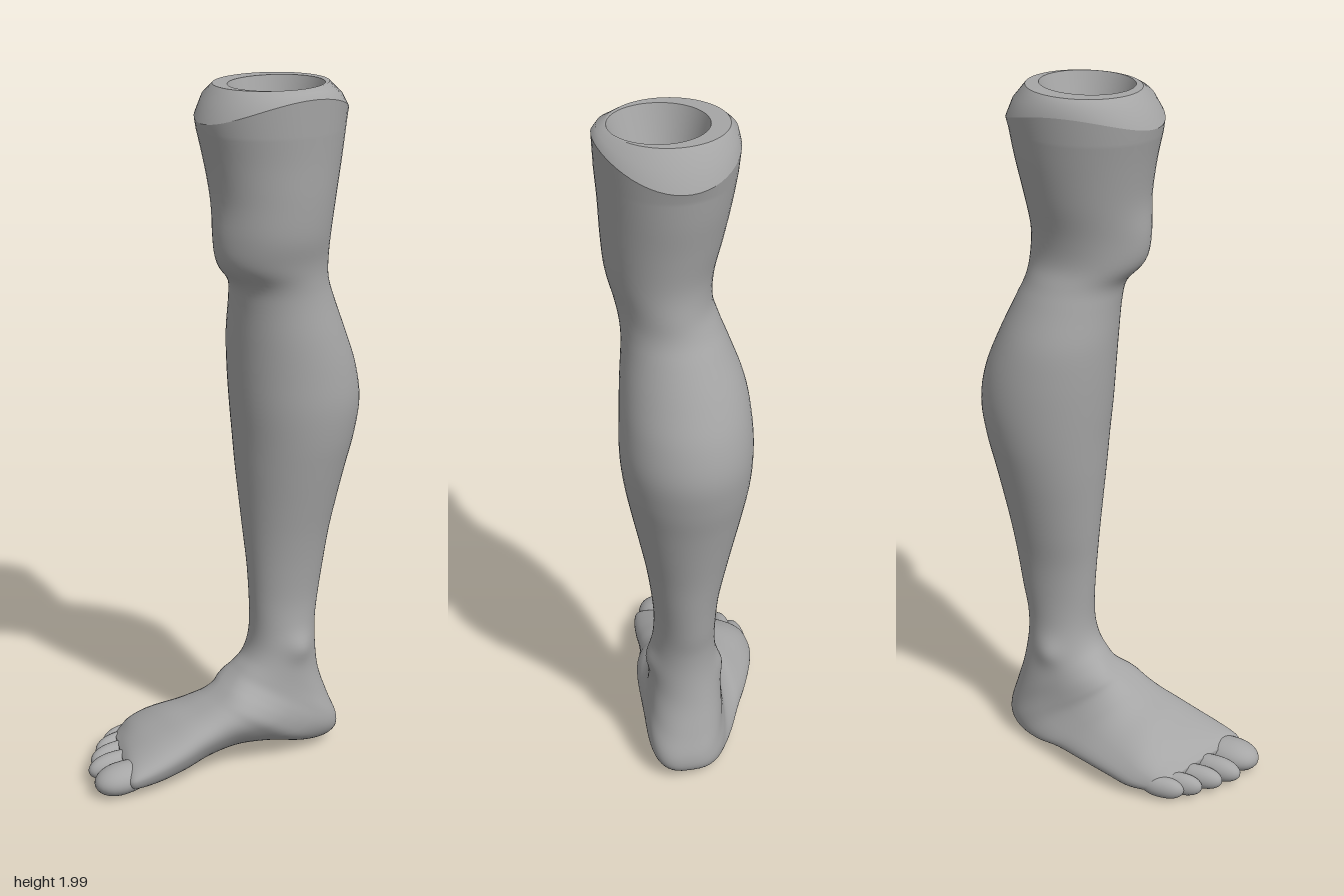
import * as THREE from 'three';

const SEGMENTS = 56;

// Smooth surface through closed rings, ordered from the top down
function loft(rings, closeEnd = false) {
  const n = rings[0].length, pos = [], idx = [];
  rings.forEach(r => r.forEach(p => pos.push(...p)));
  for (let i = 0; i < rings.length - 1; i++) {
    for (let j = 0; j < n; j++) {
      const a = i * n + j, b = i * n + (j + 1) % n;
      idx.push(a, a + n, b + n, a, b + n, b);
    }
  }
  if (closeEnd) {
    const last = rings[rings.length - 1], c = [0, 0, 0], s = (rings.length - 1) * n;
    last.forEach(p => p.forEach((v, k) => { c[k] += v / n; }));
    pos.push(...c);
    for (let j = 0; j < n; j++) idx.push(s + j, rings.length * n, s + (j + 1) % n);
  }
  const g = new THREE.BufferGeometry();
  g.setAttribute('position', new THREE.Float32BufferAttribute(pos, 3));
  g.setIndex(idx);
  g.computeVertexNormals();
  return g;
}

function ring(fn) {
  return Array.from({ length: SEGMENTS }, (_, j) => fn(j / SEGMENTS * Math.PI * 2));
}

// Horizontal ellipse; y may vary with the angle (0 = front, quarter turn = +x)
function flatRing(xL, xR, zB, zF, y) {
  return ring(a => [
    (xL + xR) / 2 + (xR - xL) / 2 * Math.sin(a),
    typeof y === 'function' ? y(a) : y,
    (zF + zB) / 2 + (zF - zB) / 2 * Math.cos(a)]);
}

function catmull(rows, steps) {
  const out = [], at = i => rows[Math.max(0, Math.min(rows.length - 1, i))];
  for (let i = 0; i < rows.length - 1; i++) {
    for (let s = 0; s < steps; s++) {
      const t = s / steps;
      out.push(rows[i].map((p1, k) => {
        const p0 = at(i - 1)[k], p2 = at(i + 1)[k], p3 = at(i + 2)[k];
        return p1 + 0.5 * t * (p2 - p0 + t * (2 * p0 - 5 * p1 + 4 * p2 - p3 + t * (3 * (p1 - p2) + p3 - p0)));
      }));
    }
  }
  out.push(rows[rows.length - 1]);
  return out;
}

// Thigh to ankle: y, xRight, xLeft, zBack, zFront
const LEG = [
  [1.88, -0.119, 0.241, -0.338, 0.083],
  [1.8, -0.105, 0.235, -0.325, 0.065],
  [1.7, -0.085, 0.23, -0.305, 0.049],
  [1.6, -0.062, 0.22, -0.29, 0.042],
  [1.52, -0.056, 0.2, -0.292, 0.03],
  [1.46, -0.072, 0.19, -0.3, -0.015],
  [1.4, -0.095, 0.19, -0.325, -0.028],
  [1.3, -0.13, 0.2, -0.37, -0.035],
  [1.2, -0.145, 0.207, -0.41, -0.042],
  [1.1, -0.148, 0.21, -0.428, -0.05],
  [1.0, -0.141, 0.2, -0.416, -0.06],
  [0.9, -0.125, 0.181, -0.392, -0.068],
  [0.8, -0.105, 0.16, -0.37, -0.077],
  [0.7, -0.085, 0.14, -0.35, -0.086],
  [0.6, -0.066, 0.125, -0.335, -0.095],
  [0.5, -0.058, 0.116, -0.32, -0.102],
  [0.42, -0.058, 0.12, -0.306, -0.105],
];

// Ankle to ball: instep z, y; heel or sole z, y; xRight, xLeft; lean, yaw, squareness
const FOOT = [
  [-0.1, 0.365, -0.305, 0.34, -0.065, 0.128, 0, 0, 1],
  [-0.085, 0.325, -0.318, 0.25, -0.074, 0.13, 0, 0, 0.95],
  [-0.06, 0.295, -0.345, 0.16, -0.08, 0.134, -0.01, 0, 0.85],
  [-0.04, 0.275, -0.367, 0.09, -0.083, 0.14, -0.02, 0, 0.75],
  [-0.02, 0.258, -0.362, 0.045, -0.09, 0.145, -0.015, 0, 0.7],
  [0, 0.243, -0.325, 0.018, -0.1, 0.145, 0, 0, 0.7],
  [0.025, 0.225, -0.26, 0.015, -0.125, 0.14, 0.015, 0, 0.72],
  [0.05, 0.21, -0.17, 0.03, -0.155, 0.122, 0.03, 0.03, 0.78],
  [0.09, 0.19, -0.07, 0.035, -0.188, 0.1, 0.045, 0.06, 0.8],
  [0.14, 0.17, 0.03, 0.028, -0.22, 0.092, 0.045, 0.1, 0.8],
  [0.18, 0.15, 0.12, 0.012, -0.24, 0.092, 0.035, 0.18, 0.8],
  [0.23, 0.125, 0.2, 0.008, -0.243, 0.088, 0.02, 0.3, 0.8],
  [0.27, 0.1, 0.26, 0.012, -0.235, 0.074, 0.01, 0.45, 0.8],
  [0.292, 0.08, 0.287, 0.03, -0.215, 0.055, 0, 0.45, 0.8],
];

// Soft local swelling pushed along x or z
const BUMPS = [
  { c: [0.05, 1.58, 0.04], r: [0.075, 0.08, 0.06], d: [0, 0, 0.012] },    // kneecap
  { c: [0.13, 0.36, -0.2], r: [0.05, 0.04, 0.045], d: [0.013, 0, 0] },    // inner ankle bone
  { c: [-0.07, 0.32, -0.21], r: [0.05, 0.04, 0.045], d: [-0.013, 0, 0] }, // outer ankle bone
];

function swell(p) {
  for (const { c, r, d } of BUMPS) {
    const q = c.reduce((s, v, k) => s + ((p[k] - v) / r[k]) ** 2, 0);
    d.forEach((v, k) => { p[k] += v * Math.exp(-q); });
  }
  return p;
}

function sectionRing([fz, fy, bz, by, xL, xR, lean, yaw, e]) {
  const pow = v => Math.sign(v) * Math.abs(v) ** e;
  return ring(a => {
    const t = pow(Math.cos(a)), dx = (xR - xL) / 2 * pow(Math.sin(a)) + lean * t;
    return swell([
      (xL + xR) / 2 + dx,
      (fy + by) / 2 + (fy - by) / 2 * t,
      (fz + bz) / 2 + (fz - bz) / 2 * t + yaw * dx]);
  });
}

export function createModel() {
  const group = new THREE.Group();
  const grey = new THREE.MeshStandardMaterial({ color: 0xa6a6a6 });
  grey.name = 'grey';
  const add = (name, geometry) => {
    const m = new THREE.Mesh(geometry, grey);
    m.name = name;
    group.add(m);
    return m;
  };

  // Leg and foot as one continuous skin, starting at the wavy cut edge
  const edge = flatRing(-0.125, 0.245, -0.345, 0.087,
    a => 1.932 - 0.028 * Math.cos(2 * a) + 0.012 * Math.sin(a));
  const rows = [...LEG.map(([y, xL, xR, zB, zF]) => [zF, y, zB, y, xL, xR, 0, 0, 1]), ...FOOT];
  add('legAndFoot', loft([edge, ...catmull(rows, 5).map(sectionRing)], true));

  // Rounded bevel, flat rim and funnel socket at the cut
  const rimY = a => 1.996 - 0.004 * Math.cos(a);
  const rim = flatRing(-0.1, 0.21, -0.285, 0.027, rimY);
  const middle = flatRing(-0.118, 0.233, -0.322, 0.062,
    a => 1.97 - 0.014 * Math.cos(2 * a) + 0.005 * Math.sin(a));
  add('cutBevel', loft([rim, middle, edge]));
  const mouth = flatRing(-0.05, 0.208, -0.258, 0.0, rimY);
  const floor = flatRing(0.017, 0.123, -0.183, -0.077, 1.76);
  const centre = flatRing(0.0695, 0.0705, -0.1305, -0.1295, 1.76);
  add('cutRim', loft([mouth, rim]));
  add('socketWall', loft([floor, mouth]));
  add('socketFloor', loft([centre, floor]));

  // Toes from big to little: centre, radii, turn about y
  const toes = [
    [0.006, 0.052, 0.335, 0.056, 0.043, 0.09, -0.08],
    [-0.08, 0.05, 0.315, 0.033, 0.036, 0.082, -0.06],
    [-0.136, 0.048, 0.282, 0.03, 0.034, 0.076, 0.02],
    [-0.187, 0.046, 0.245, 0.027, 0.033, 0.068, 0.08],
    [-0.221, 0.045, 0.205, 0.026, 0.032, 0.064, 0.12],
  ];
  toes.forEach(([x, y, z, rx, ry, rz, turn], i) => {
    const g = new THREE.SphereGeometry(1, 28, 20);
    // Blunt the tip and sink it slightly
    const p = g.attributes.position;
    for (let k = 0; k < p.count; k++) {
      const u = p.getZ(k), w = 1 + 0.12 * Math.max(0, u);
      p.setXYZ(k, p.getX(k) * w, p.getY(k) * w - 0.1 * u, u);
    }
    g.scale(rx, ry, rz);
    g.computeVertexNormals();
    const toe = add(i === 0 ? 'bigToe' : `toe${i + 1}`, g);
    toe.position.set(x, y, z);
    toe.rotation.y = turn;
  });

  return group;
}
